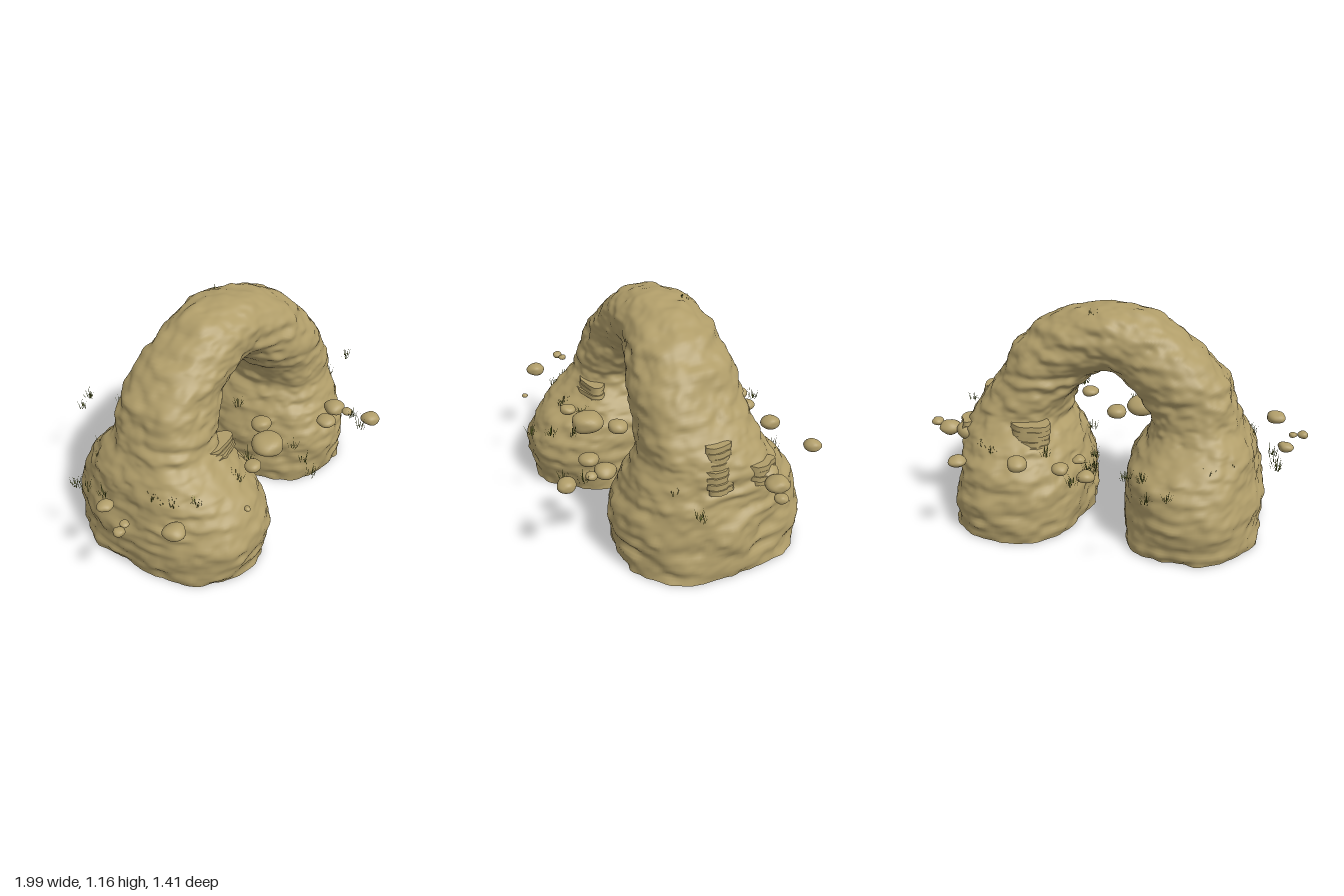
import * as THREE from 'three';
import { mergeVertices } from 'three/addons/utils/BufferGeometryUtils.js';

// Seeded random numbers and smooth 3D value noise (-1..1)
let seed = 7;
const rand = () => (seed = (seed * 16807) % 2147483647) / 2147483647;
const hash = (x, y, z) => {
  const s = Math.sin(x * 127.1 + y * 311.7 + z * 74.7) * 43758.5453;
  return s - Math.floor(s);
};
function noise(x, y, z) {
  const i = Math.floor(x), j = Math.floor(y), k = Math.floor(z);
  const f = (t) => t * t * (3 - 2 * t);
  const u = f(x - i), v = f(y - j), w = f(z - k);
  const m = THREE.MathUtils.lerp;
  const row = (b, c) => m(hash(i, b, c), hash(i + 1, b, c), u);
  return 2 * m(m(row(j, k), row(j + 1, k), v), m(row(j, k + 1), row(j + 1, k + 1), v), w) - 1;
}

// Arch stations from left foot to right foot: outer x, y, inner x, y, back z, front z
const stations = [
  [-0.79, 0, -0.075, 0, -0.48, 0.52],
  [-0.785, 0.2, -0.07, 0.2, -0.49, 0.54],
  [-0.75, 0.36, -0.10, 0.36, -0.45, 0.48],
  [-0.735, 0.46, -0.15, 0.45, -0.38, 0.38],
  [-0.68, 0.56, -0.20, 0.54, -0.30, 0.27],
  [-0.64, 0.66, -0.20, 0.61, -0.26, 0.23],
  [-0.58, 0.82, -0.16, 0.69, -0.24, 0.22],
  [-0.42, 0.98, -0.10, 0.77, -0.23, 0.21],
  [-0.22, 1.11, -0.04, 0.81, -0.22, 0.20],
  [0, 1.155, 0.01, 0.82, -0.21, 0.19],
  [0.2, 1.13, 0.07, 0.805, -0.21, 0.21],
  [0.4, 1.04, 0.14, 0.76, -0.22, 0.265],
  [0.57, 0.87, 0.19, 0.70, -0.24, 0.295],
  [0.68, 0.69, 0.235, 0.61, -0.26, 0.30],
  [0.755, 0.57, 0.25, 0.54, -0.30, 0.30],
  [0.785, 0.46, 0.20, 0.46, -0.39, 0.35],
  [0.80, 0.36, 0.15, 0.36, -0.46, 0.40],
  [0.83, 0.2, 0.115, 0.2, -0.51, 0.43],
  [0.84, 0, 0.12, 0, -0.51, 0.42],
];

function geometry(positions, index) {
  const g = new THREE.BufferGeometry();
  g.setAttribute('position', new THREE.Float32BufferAttribute(positions, 3));
  if (index) g.setIndex(index);
  g.computeVertexNormals();
  return g;
}

// Lofted arch with weathered, layered skin, plus its two flat undersides
function archGeometries() {
  const curve = (a, b, c) => new THREE.CatmullRomCurve3(
    stations.map((s) => new THREE.Vector3(s[a], s[b], s[c])), false, 'catmullrom', 0.5);
  const outer = curve(0, 1, 4), inner = curve(2, 3, 5);
  const rings = 260, sides = 150, pos = [], index = [];
  const power = (v) => Math.sign(v) * Math.pow(Math.abs(v), 0.88);
  for (let i = 0; i <= rings; i++) {
    const o = outer.getPoint(i / rings), n = inner.getPoint(i / rings);
    const cx = (o.x + n.x) / 2, cy = (o.y + n.y) / 2, cz = (o.z + n.z) / 2;
    for (let j = 0; j < sides; j++) {
      const t = (j / sides) * Math.PI * 2, c = power(Math.cos(t)), s = power(Math.sin(t));
      const dx = (o.x - cx) * c, dy = (o.y - cy) * c, dz = (n.z - cz) * s;
      const x = cx + dx, y = cy + dy, z = cz + dz;
      const bump = 0.016 * noise(x * 5, y * 5 + 9, z * 5) + 0.012 * noise(x * 5 + 4, y * 26, z * 5)
        + 0.010 * noise(x * 17, y * 24, z * 17) + 0.004 * noise(x * 30, y * 45, z * 30);
      const k = 1 + bump / Math.hypot(dx, dy, dz);
      pos.push(cx + dx * k, Math.max(0, cy + dy * k), cz + dz * k);
    }
  }
  for (let i = 0; i < rings; i++) for (let j = 0; j < sides; j++) {
    const a = i * sides + j, b = i * sides + (j + 1) % sides;
    index.push(a, b, b + sides, a, b + sides, a + sides);
  }
  const cap = (ring, flip) => {
    const p = pos.slice(ring * sides * 3, (ring + 1) * sides * 3), ix = [];
    const s = stations[flip ? 0 : stations.length - 1];
    p.push((s[0] + s[2]) / 2, 0, (s[4] + s[5]) / 2);
    for (let j = 0; j < sides; j++) {
      const k = (j + 1) % sides;
      ix.push(sides, flip ? k : j, flip ? j : k);
    }
    return geometry(p, ix);
  };
  return [geometry(pos, index), cap(0, true), cap(rings, false)];
}

// Rounded lump with slightly uneven surface
function stoneGeometry(radius, offset) {
  let g = new THREE.IcosahedronGeometry(1, 5);
  g.deleteAttribute('uv');
  g.deleteAttribute('normal');
  g = mergeVertices(g, 1e-4);
  const p = g.attributes.position, v = new THREE.Vector3();
  for (let i = 0; i < p.count; i++) {
    v.fromBufferAttribute(p, i);
    v.multiplyScalar(radius * (1 + 0.14 * noise(v.x * 1.1 + offset, v.y * 1.1, v.z * 1.1)));
    p.setXYZ(i, v.x, v.y * 0.66, v.z);
  }
  g.computeVertexNormals();
  return g;
}

// One uneven layer of a ledge
function slabGeometry(w, h, d, offset) {
  const g = new THREE.CylinderGeometry(0.97, 1, h, 18);
  const p = g.attributes.position;
  for (let i = 0; i < p.count; i++) {
    const x = p.getX(i), z = p.getZ(i), k = 1 + 0.2 * noise(x * 2 + offset, 3, z * 2);
    p.setXYZ(i, x * k * w / 2, p.getY(i), z * k * d / 2);
  }
  g.computeVertexNormals();
  return g;
}

// All blades of grass: slim leaning triangles in tufts
function grassGeometry(tufts) {
  const p = [];
  for (const [x, z, y = 0.45] of tufts) for (let i = 0; i < 16; i++) {
    const a = rand() * Math.PI * 2, r = rand() * 0.028, h = 0.02 + rand() * 0.035, lean = 0.005 + rand() * 0.015;
    const bx = x + Math.cos(a) * r, bz = z + Math.sin(a) * r;
    const wx = -Math.sin(a) * 0.0024, wz = Math.cos(a) * 0.0024;
    p.push(bx - wx, y, bz - wz, bx + wx, y, bz + wz, bx + Math.cos(a) * lean, y + h, bz + Math.sin(a) * lean);
  }
  return geometry(p);
}

export function createModel() {
  const rock = new THREE.MeshStandardMaterial({ color: 0xb09d69 });
  rock.name = 'sandstone';
  const green = new THREE.MeshStandardMaterial({ color: 0x6c7629, side: THREE.DoubleSide });
  green.name = 'dryGrass';
  const model = new THREE.Group();
  model.name = 'rockArch';
  const add = (name, geo, mat = rock, parent = model) => {
    const m = new THREE.Mesh(geo, mat);
    m.name = name;
    parent.add(m);
    return m;
  };

  const [arch, capA, capB] = archGeometries();
  add('arch', arch);
  add('rightFootUnderside', capA);
  add('leftFootUnderside', capB);

  // Loose stones: x, z, radius
  const stones = [
    [0, -0.54, 0.043], [0.14, -0.5, 0.042], [0.08, -0.385, 0.032], [0.36, -0.5, 0.053], [0.65, -0.55, 0.045],
    [0.86, -0.19, 0.056], [0.96, -0.14, 0.032], [0.75, -0.2, 0.07], [-0.89, 0.02, 0.037], [-0.97, 0.185, 0.029],
    [-0.92, 0.17, 0.022], [-0.82, 0.375, 0.052], [0.05, 0.23, 0.054], [-0.07, 0.35, 0.083], [-0.25, 0.39, 0.043],
    [0.28, 0.485, 0.05], [0.41, 0.46, 0.054], [0.42, 0.53, 0.029], [0.44, 0.66, 0.047], [-0.51, 0.545, 0.016],
  ];
  stones.forEach(([x, z, r], i) => {
    const m = add('stone', stoneGeometry(r, i * 3.7));
    m.position.set(x, 0.47, z);
    m.rotation.y = i;
  });

  // Layered ledges: x, z, width, depth, bottom, layers, layer height, shift per layer in x and z
  const ledges = [
    [-0.33, 0.225, 0.25, 0.13, 0.49, 4, 0.021, 0.003, -0.004],
    [0.38, -0.27, 0.21, 0.17, 0.45, 5, 0.026, 0, 0.006],
    [0.76, 0.05, 0.09, 0.14, 0.45, 8, 0.026, -0.009, -0.002],
    [0.75, -0.18, 0.13, 0.15, 0.44, 4, 0.024, -0.006, 0.003],
  ];
  for (const [x, z, w, d, y, count, h, sx, sz] of ledges) {
    const ledge = new THREE.Group();
    ledge.name = 'ledge';
    for (let i = 0; i < count; i++) {
      const size = 0.86 + rand() * 0.2;
      add('ledgeLayer', slabGeometry(w * size, h, d * size, i * 0.3 + x * 9), rock, ledge)
        .position.set(x + sx * i, y + h * (i + 0.5), z + sz * i);
    }
    model.add(ledge);
  }

  // Grass tufts: x, z and, on the crown of the arch, height
  add('grass', grassGeometry([
    [-0.4, -0.64], [-0.32, -0.67], [-0.01, -0.47], [0.02, -0.44], [0.05, -0.6], [-0.18, -0.49], [-0.26, -0.49],
    [0.03, -0.29], [-0.85, -0.15], [-0.83, -0.05], [-0.86, -0.21], [0.92, 0.24], [0, 0.46], [-0.05, 0.56],
    [-0.12, 0.64], [0.36, 0.64], [0.42, 0.57], [-0.68, 0.25], [-0.7, 0.2], [-0.67, -0.24], [0.54, -0.38],
    [-0.36, 0.38], [-0.2, 0.33], [-0.62, 0.33], [-0.71, 0.14], [0.69, 0.25], [0.13, 0.02], [0, -0.4],
    [0.27, -0.35], [0.6, -0.35], [-0.55, -0.35], [0.08, -0.12, 1.11],
  ]), green);
  return model;
}
